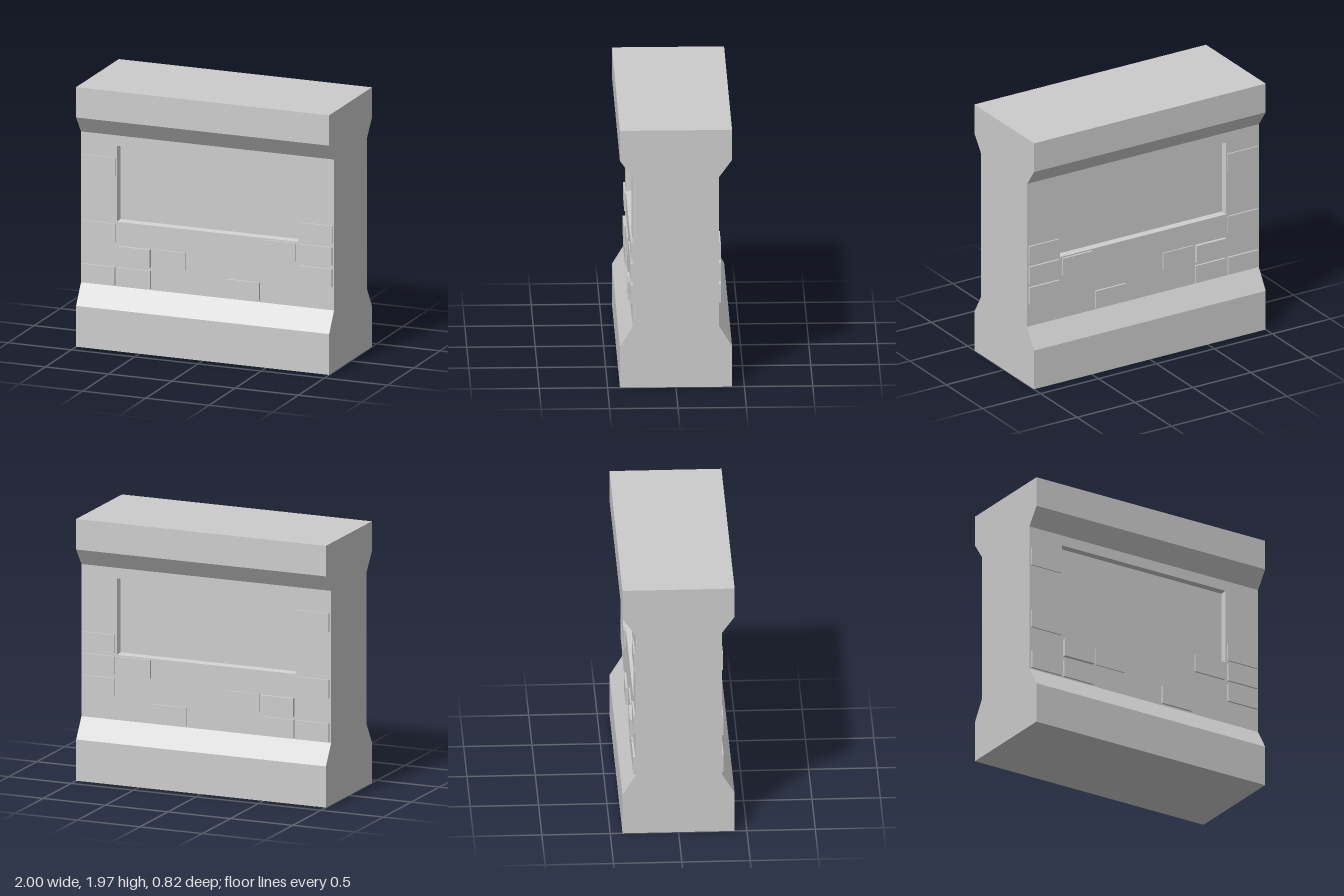
import * as THREE from 'three';

const WALL_Z = 0.316, BASE_Z = 0.41, TOP = 1.97;

// Flat-shaded surface from quads, corners counter-clockwise seen from outside
function quadGeometry(quads) {
  const pos = [];
  for (const [a, b, c, d] of quads) pos.push(...a, ...b, ...c, ...a, ...c, ...d);
  const geo = new THREE.BufferGeometry();
  geo.setAttribute('position', new THREE.Float32BufferAttribute(pos, 3));
  geo.computeVertexNormals();
  return geo;
}

// Rectangle loop facing +z
const rect = (w, y0, y1, z) => [[-w, y0, z], [w, y0, z], [w, y1, z], [-w, y1, z]];

// Front half of the wall: plinth, recessed face, cornice
function halfWallGeometry() {
  const quads = [];
  const strip = (y0, z0, y1, z1) =>
    quads.push([[-1, y0, z0], [1, y0, z0], [1, y1, z1], [-1, y1, z1]]);
  strip(0, 0, 0, BASE_Z);
  strip(0, BASE_Z, 0.31, BASE_Z);
  strip(0.31, BASE_Z, 0.465, WALL_Z);
  strip(1.61, WALL_Z, 1.74, BASE_Z);
  strip(1.74, BASE_Z, TOP, BASE_Z);
  strip(TOP, BASE_Z, TOP, 0);

  // Wall face, opening and tapered recess as nested loops
  const loops = [
    rect(1, 0.465, 1.61, WALL_Z),
    rect(0.715, 0.955, 1.53, WALL_Z),
    rect(0.705, 0.966, 1.52, WALL_Z - 0.04),
  ];
  for (let k = 0; k < 2; k++) {
    for (let i = 0; i < 4; i++) {
      const j = (i + 1) % 4;
      quads.push([loops[k][i], loops[k][j], loops[k + 1][j], loops[k + 1][i]]);
    }
  }
  quads.push(loops[2]);
  return quadGeometry(quads);
}

// Side profile, facing +x
function endGeometry() {
  const edge = [[BASE_Z, 0], [BASE_Z, 0.31], [WALL_Z, 0.465], [WALL_Z, 1.61], [BASE_Z, 1.74], [BASE_Z, TOP]];
  const pts = [...edge, ...edge.map(([z, y]) => [-z, y]).reverse()];
  const shape = new THREE.Shape(pts.map(([z, y]) => new THREE.Vector2(z, y)));
  return new THREE.ShapeGeometry(shape).rotateY(Math.PI / 2).translate(1, 0, 0);
}

export function createModel() {
  const model = new THREE.Group();
  model.name = 'wallSegment';
  const stone = new THREE.MeshStandardMaterial({ color: 0xcccccc });
  stone.name = 'grey stone';
  const add = (name, geo, parent = model) => {
    const mesh = new THREE.Mesh(geo, stone);
    mesh.name = name;
    parent.add(mesh);
    return mesh;
  };

  // Two identical wall halves and two ends, turned about the centre
  const half = halfWallGeometry(), end = endGeometry();
  add('frontWall', half);
  add('backWall', half).rotation.y = Math.PI;
  add('leftEnd', end);
  add('rightEnd', end).rotation.y = Math.PI;

  // Raised bricks: left x, bottom y, how far they stand out
  const bricks = [
    [0.73, 0.97, 0.012], [0.73, 0.807, 0.015], [0.73, 0.642, 0.015],
    [0.443, 0.807, 0.015], [0.157, 0.478, 0.015],
    [-0.985, 1.302, 0.01], [-0.985, 0.802, 0.012], [-0.985, 0.474, 0.015],
    [-0.705, 0.637, 0.025], [-0.705, 0.474, 0.015], [-0.427, 0.64, 0.01],
  ];
  for (const side of [1, -1]) {
    const group = new THREE.Group();
    group.name = side > 0 ? 'frontBricks' : 'backBricks';
    model.add(group);
    for (const [x, y, out] of bricks) {
      const brick = add('brick', new THREE.BoxGeometry(0.257, 0.137, out + 0.01), group);
      brick.position.set(x + 0.1285, y + 0.0685, side * (WALL_Z + (out - 0.01) / 2));
    }
  }
  return model;
}
